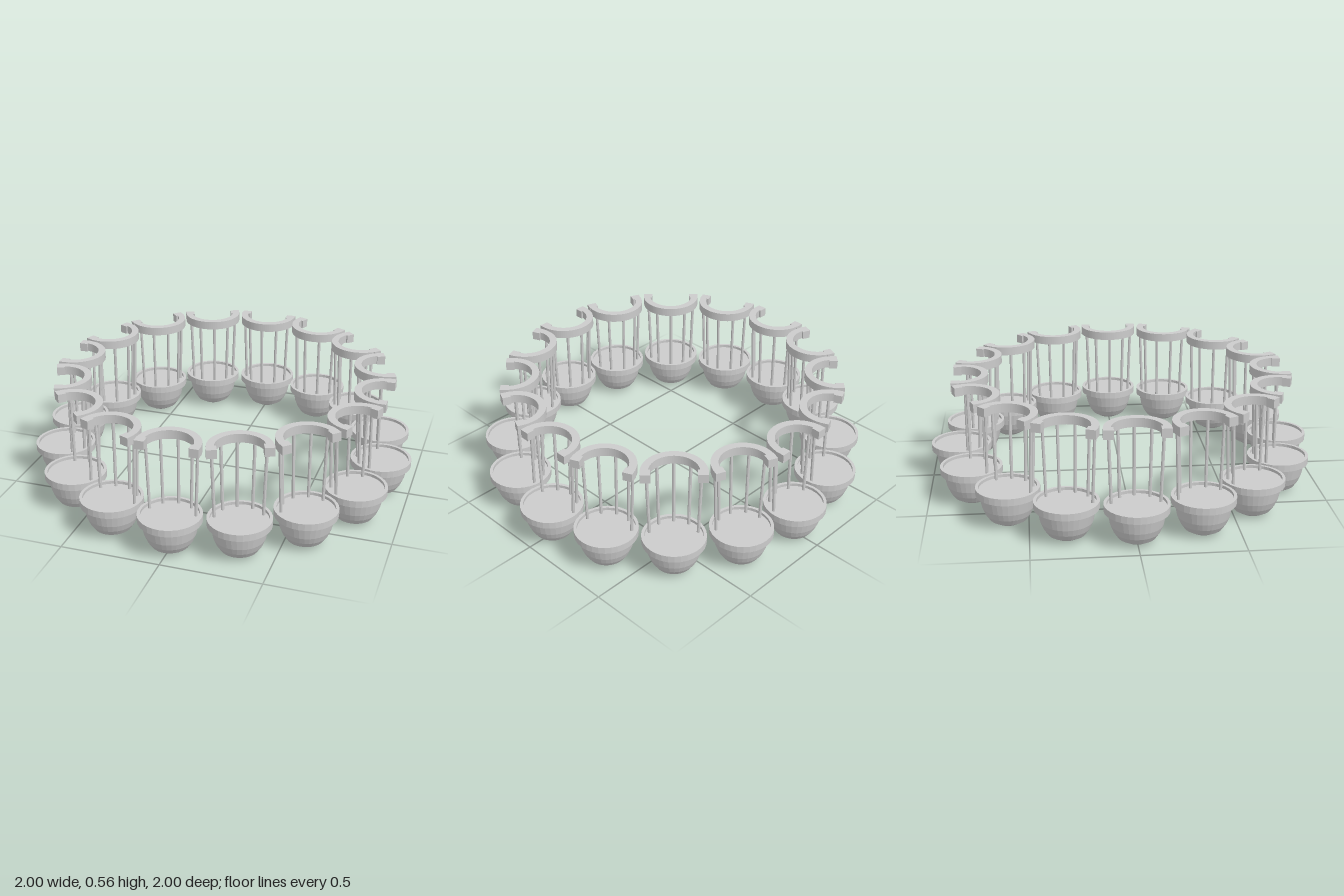
import * as THREE from 'three';

const SEATS = 16;
const RING_RADIUS = 0.844;
const rad = THREE.MathUtils.degToRad;

export function createModel() {
  const model = new THREE.Group();
  model.name = 'seatRing';
  const mat = new THREE.MeshStandardMaterial({ color: 0xcccccc, flatShading: true });

  // Tub: rounded bowl, overhanging rim and a slightly sunken seat
  const profile = [
    [0, 0], [0.055, 0.003], [0.092, 0.025], [0.112, 0.055], [0.126, 0.09],
    [0.139, 0.155], [0.156, 0.155], [0.156, 0.19], [0.141, 0.19], [0.141, 0.175], [0, 0.175],
  ].map(([r, y]) => new THREE.Vector2(r, y));
  const tubGeo = new THREE.LatheGeometry(profile, 32);

  // Backrest rail: a little over half a ring, open towards the outside
  const arc = new THREE.Shape();
  arc.absarc(0, 0, 0.156, rad(-10), rad(190), false);
  arc.absarc(0, 0, 0.119, rad(190), rad(-10), true);
  const railGeo = new THREE.ExtrudeGeometry(arc, { depth: 0.045, bevelEnabled: false, curveSegments: 24 });
  railGeo.rotateX(-Math.PI / 2).translate(0, 0.52, 0);

  const endGeo = new THREE.BoxGeometry(0.049, 0.045, 0.043);
  const barGeo = new THREE.CylinderGeometry(0.008, 0.008, 0.365, 8);
  const up = new THREE.Vector3(0, 1, 0);

  const add = (parent, geo, name) => {
    const mesh = new THREE.Mesh(geo, mat);
    mesh.name = name;
    parent.add(mesh);
    return mesh;
  };

  for (let i = 0; i < SEATS; i++) {
    const a = (i / SEATS) * Math.PI * 2;
    const seat = new THREE.Group();
    seat.name = 'seat';
    add(seat, tubGeo, 'tub');
    add(seat, railGeo, 'backRail');

    // Blocks closing the rail ends
    for (const s of [-1, 1]) add(seat, endGeo, 'railEnd').position.set(s * 0.1325, 0.5425, 0.008);

    // Five bars, leaning very slightly outwards
    for (let k = -2; k <= 2; k++) {
      const t = rad(k * 36);
      const at = (r, y) => new THREE.Vector3(r * Math.sin(t), y, -r * Math.cos(t));
      const low = at(0.122, 0.165), high = at(0.135, 0.53);
      const bar = add(seat, barGeo, 'backBar');
      bar.position.copy(low).add(high).multiplyScalar(0.5);
      bar.quaternion.setFromUnitVectors(up, high.sub(low).normalize());
    }

    // Each seat has its back to the middle
    seat.position.set(Math.sin(a) * RING_RADIUS, 0, Math.cos(a) * RING_RADIUS);
    seat.rotation.y = a;
    model.add(seat);
  }
  return model;
}
